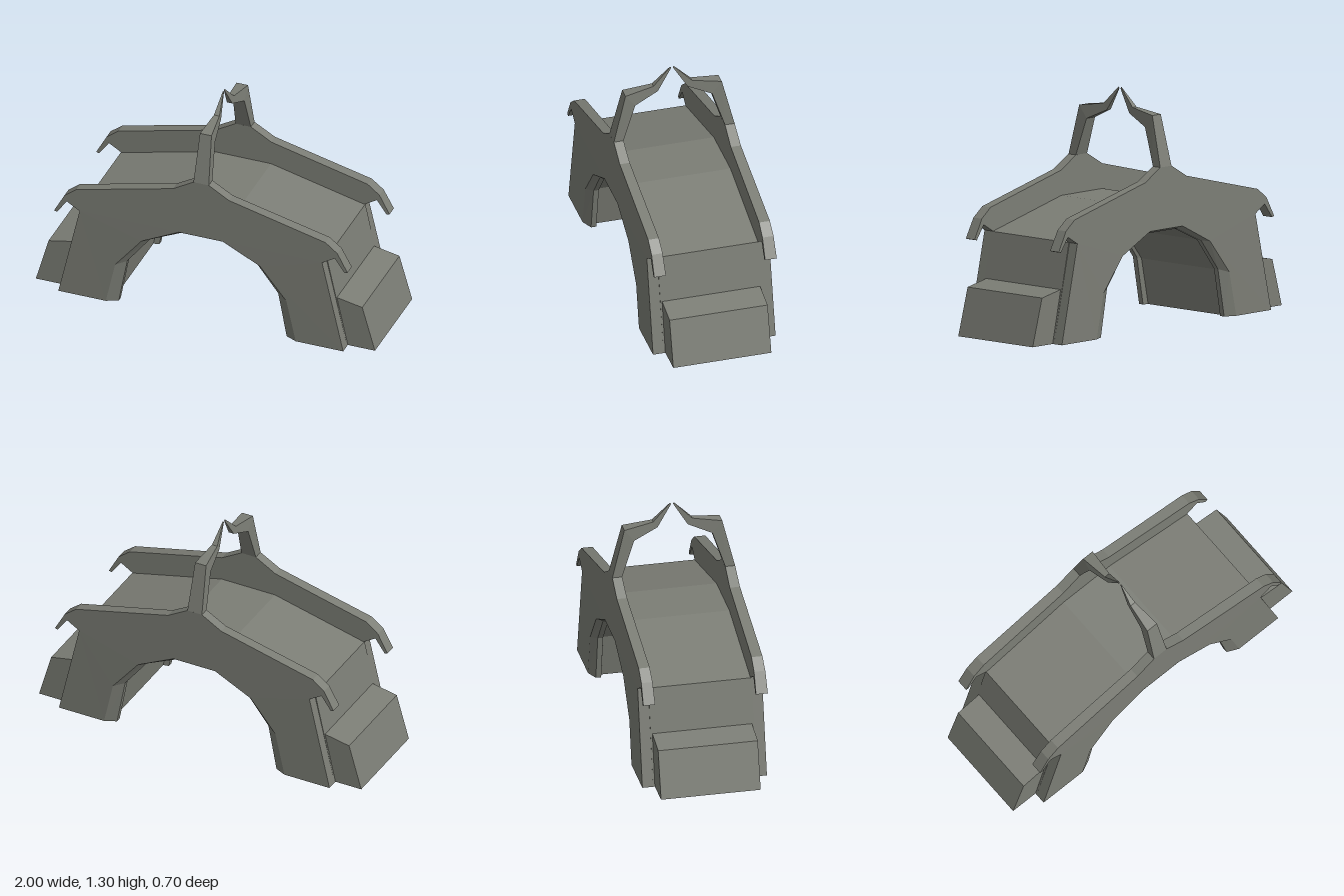
import * as THREE from 'three';

const stone = new THREE.MeshStandardMaterial({ color: 0x7b7d75, flatShading: true });
stone.name = 'grey stone';

// mirrors a right-hand point list (x > 0) into a full list running from +x to -x
const mirror = (pts) => [...pts, ...pts.slice().reverse().map(([x, y]) => [-x, y])];
const shapeOf = (pts) => new THREE.Shape(pts.map(([x, y]) => new THREE.Vector2(x, y)));

function mesh(name, geometry) {
  const m = new THREE.Mesh(geometry, stone);
  m.name = name;
  return m;
}

function slab(pts, z0, z1) {
  const g = new THREE.ExtrudeGeometry(shapeOf(pts), { depth: z1 - z0, bevelEnabled: false });
  return g.translate(0, 0, z0);
}

// solid through closed convex rings, capped at both ends
function loft(rings) {
  const v = [];
  const n = rings[0].length;
  const tri = (a, b, c) => v.push(...a, ...b, ...c);
  for (let i = 0; i < rings.length - 1; i++) {
    for (let j = 0; j < n; j++) {
      const k = (j + 1) % n;
      const a = rings[i], b = rings[i + 1];
      tri(a[j], a[k], b[k]);
      tri(a[j], b[k], b[j]);
    }
  }
  const first = rings[0], last = rings[rings.length - 1];
  for (let j = 1; j < n - 1; j++) {
    tri(first[0], first[j + 1], first[j]);
    tri(last[0], last[j], last[j + 1]);
  }
  const g = new THREE.BufferGeometry();
  g.setAttribute('position', new THREE.Float32BufferAttribute(v, 3));
  g.computeVertexNormals();
  return g;
}

// half profiles of the arch opening
const archOuter = [[0.56, 0], [0.505, 0.25], [0.35, 0.44], [0.13, 0.55]];
const archInner = [[0.495, 0], [0.445, 0.27], [0.31, 0.445], [0.115, 0.535]];
const archBarrel = archOuter.map(([x, y], i) => [(x + archInner[i][0]) / 2, (y + archInner[i][1]) / 2]);

// half profiles of the upper edges
const deckEdge = [[0.84, 0], [0.72, 0.55], [0.165, 0.685]];
const railEdge = [
  [0.84, 0], [0.715, 0.55], [0.79, 0.595], [0.848, 0.515], [0.865, 0.52],
  [0.805, 0.63], [0.735, 0.685], [0.165, 0.825], [0.045, 0.895],
];
const outline = (top, arch) => [...mirror(top), ...mirror(arch).reverse()];

function createSide() {
  const side = new THREE.Group();

  // side wall with hooked railing, thinning slightly upward
  const wall = slab(outline(railEdge, archOuter), 0.283, 0.35);
  const p = wall.attributes.position;
  for (let i = 0; i < p.count; i++) {
    const rise = Math.max(0, p.getY(i) - 0.5);
    p.setZ(i, p.getZ(i) + (p.getZ(i) > 0.3 ? -0.0125 : 0.0175) * rise);
  }
  wall.computeVertexNormals();
  side.add(mesh('sideWall', wall));

  // chamfered rib around the arch
  const outer = mirror(archOuter), inner = mirror(archInner), barrel = mirror(archBarrel);
  side.add(mesh('archRib', loft(outer.map((o, i) => [
    [...barrel[i], 0.283], [...inner[i], 0.29], [...inner[i], 0.32], [...o, 0.35], [...o, 0.283],
  ]))));

  // bent spire: outer z, outer y, inner z, inner y, half width
  const spire = [
    [0.345, 0.895, 0.29, 0.895, 0.045],
    [0.275, 1.175, 0.22, 1.105, 0.034],
    [0.11, 1.2, 0.085, 1.165, 0.016],
    [0.011, 1.3, 0.005, 1.294, 0.002],
  ];
  side.add(mesh('spire', loft(spire.map(([zo, yo, zi, yi, w]) => [
    [-w, yo, zo], [w, yo, zo], [w, yi, zi], [-w, yi, zi],
  ]))));
  return side;
}

export function createModel() {
  const model = new THREE.Group();
  model.name = 'archedBridge';

  // central deck and vault
  model.add(mesh('deck', slab(outline(deckEdge, archBarrel), -0.29, 0.29)));

  // front and back sides
  ['frontSide', 'backSide'].forEach((name, i) => {
    const side = createSide();
    side.name = name;
    side.rotation.y = i * Math.PI;
    model.add(side);
  });

  // sloped blocks at both ends
  const block = [[0.8, 0], [1, 0], [0.925, 0.265], [0.775, 0.295], [0.75, 0.295]];
  ['leftEndBlock', 'rightEndBlock'].forEach((name, i) => {
    const b = mesh(name, slab(block, -0.28, 0.28));
    b.rotation.y = i * Math.PI;
    model.add(b);
  });
  return model;
}
